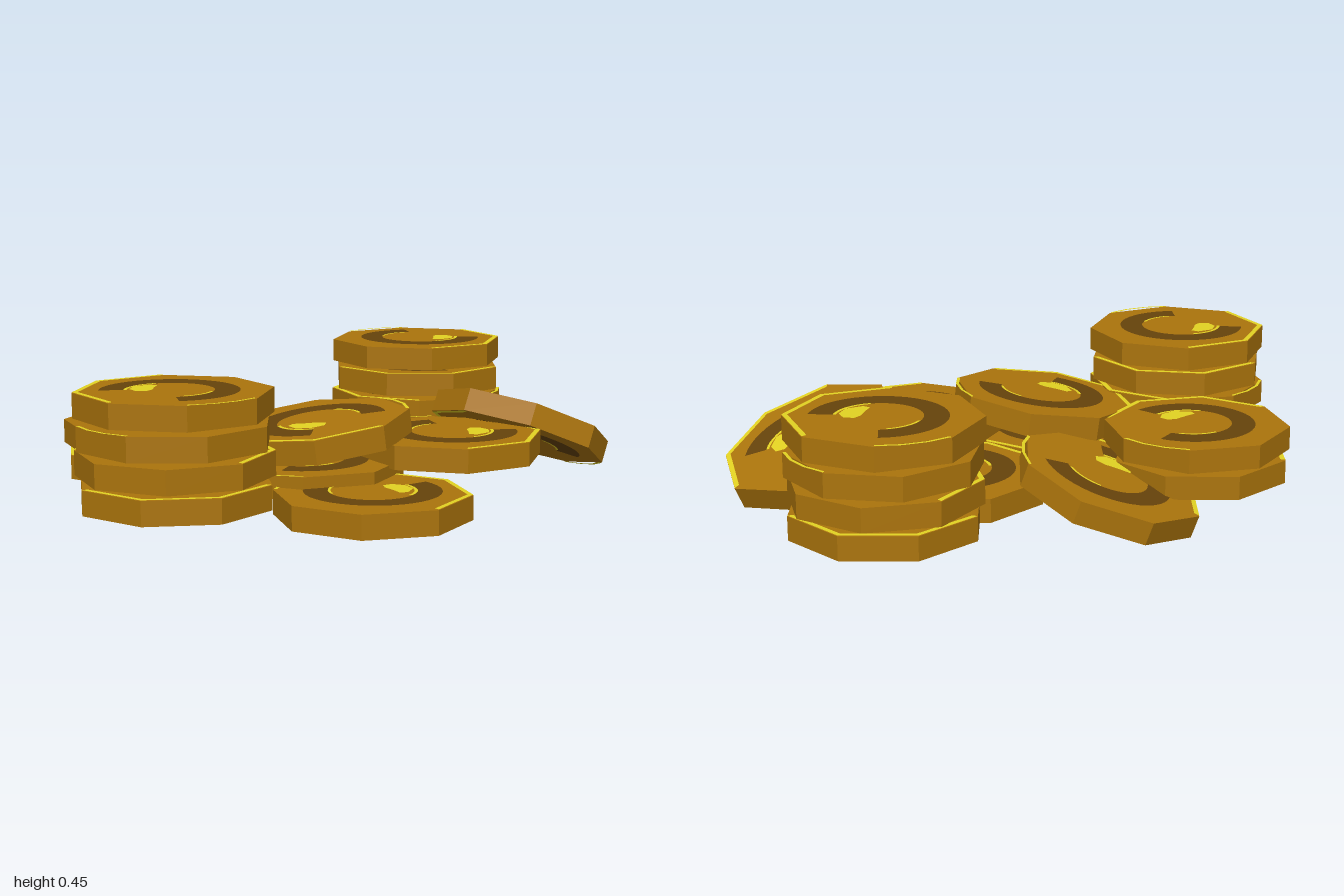
import * as THREE from 'three';

const RADIUS = 0.298, THICK = 0.075, DEG = Math.PI / 180;

export function createModel() {
  const model = new THREE.Group();
  model.name = 'coinPile';

  const gold = new THREE.MeshStandardMaterial({ color: 0xab740c });
  gold.name = 'old gold';
  const bronze = new THREE.MeshStandardMaterial({ color: 0x66430b });
  bronze.name = 'dark bronze';
  const shine = new THREE.MeshStandardMaterial({ color: 0xe2d222 });
  shine.name = 'bright yellow';

  // Shared geometry: faceted eight-sided body and flat painted details
  const bodyGeo = new THREE.CylinderGeometry(RADIUS, RADIUS, THICK, 8).toNonIndexed();
  bodyGeo.computeVertexNormals();
  const flat = (geo) => geo.rotateX(-Math.PI / 2);
  const arc = (inner, outer, segs, start, length) =>
    flat(new THREE.RingGeometry(inner, outer, segs, 1, start * DEG, length * DEG));

  // Band centred slightly towards its gap
  const SHIFT = 0.02;
  const bandGeo = arc(0.133, 0.208, 30, 50, 260).translate(SHIFT, 0, 0);
  const glintGeos = [arc(0.124, 0.134, 8, 240, 70), arc(0.126, 0.134, 6, 60, 55)]
    .map((geo) => geo.translate(SHIFT, 0, 0));
  const rimGeo = arc(RADIUS - 0.018, RADIUS - 0.001, 3, 0, 135);
  const smallRimGeo = arc(RADIUS - 0.011, RADIUS - 0.001, 1, 180, 45);
  const blobGeo = flat(new THREE.ShapeGeometry(new THREE.Shape([
    [0.085, -0.03], [0.105, -0.055], [0.09, -0.095], [0.045, -0.12],
    [-0.01, -0.105], [-0.015, -0.08], [0.02, -0.06], [0.055, -0.035],
  ].map(([x, y]) => new THREE.Vector2(x, y)))));

  const add = (parent, name, geo, mat, y = 0) => {
    const mesh = new THREE.Mesh(geo, mat);
    mesh.name = name;
    mesh.position.y = y;
    parent.add(mesh);
    return mesh;
  };

  // Painted details for one face of a coin
  function faceDetails(open, turn) {
    const face = new THREE.Group();
    face.name = 'faceDetails';
    const mark = new THREE.Group();
    mark.name = 'faceMark';
    mark.rotation.y = -open * DEG;
    add(mark, 'curvedBand', bandGeo, bronze, 0.002);
    glintGeos.forEach((geo) => add(mark, 'bandGlint', geo, shine, 0.003));
    add(mark, 'centreGlint', blobGeo, shine, 0.004);
    // rim highlights snapped to the body corners
    const snap = turn + 45 * Math.round((open + 150 - turn) / 45);
    const rim = new THREE.Group();
    rim.name = 'rimHighlights';
    rim.rotation.y = -snap * DEG;
    add(rim, 'rimGlint', rimGeo, shine, 0.002);
    add(rim, 'smallRimGlint', smallRimGeo, shine, 0.002);
    face.add(mark, rim);
    return face;
  }

  // x, z: centre; y: centre height; turn: corner angle; open: band gap angle; a, b: slope along x and z
  function coin(name, x, y, z, turn, open, a = 0, b = 0) {
    const group = new THREE.Group();
    group.name = name;
    add(group, 'coinBody', bodyGeo, gold).rotation.y = -turn * DEG;
    const top = faceDetails(open, turn);
    top.position.y = THICK / 2;
    const bottom = faceDetails(-open, -turn);
    bottom.position.y = -THICK / 2;
    bottom.rotation.x = Math.PI;
    group.add(top, bottom);
    group.position.set(x, y, z);
    group.quaternion.setFromUnitVectors(
      new THREE.Vector3(0, 1, 0), new THREE.Vector3(-a, 1, -b).normalize());
    model.add(group);
  }

  // Level stacks, each entry a corner angle from the bottom coin upwards
  function stack(name, x, z, open, turns) {
    turns.forEach((turn, i) =>
      coin(name + (i + 1), x, 0.138 + i * 0.09, z, turn, open + 70 * (turns.length - 1 - i)));
  }
  stack('backStackCoin', -0.135, -0.702, -90, [22, 8, 30, 0]);
  stack('frontStackCoin', -0.027, 0.702, 90, [22, 8, 30, 41]);
  stack('leftStackCoin', -0.43, 0.345, -55, [22, 8]);

  // Loose level coins
  coin('lowFrontCoin', 0.435, 0.1, 0.347, 15, -125);
  coin('underCentreCoin', 0.08, 0.138, 0.2, 10, 120);
  coin('backCentreCoin', -0.04, 0.136, -0.35, 20, 5);
  coin('sideCoin', 0.38, 0.205, -0.14, 0, -95);

  // Loose leaning coins
  coin('centreTopCoin', 0.085, 0.257, 0.165, 8, 10, 0.07, -0.11);
  coin('leaningLeftCoin', -0.4, 0.133, -0.03, 20, -10, 0.29, -0.19);
  coin('leaningBackCoin', 0.388, 0.203, -0.56, 8, -92, -0.055, 0.45);

  return model;
}
